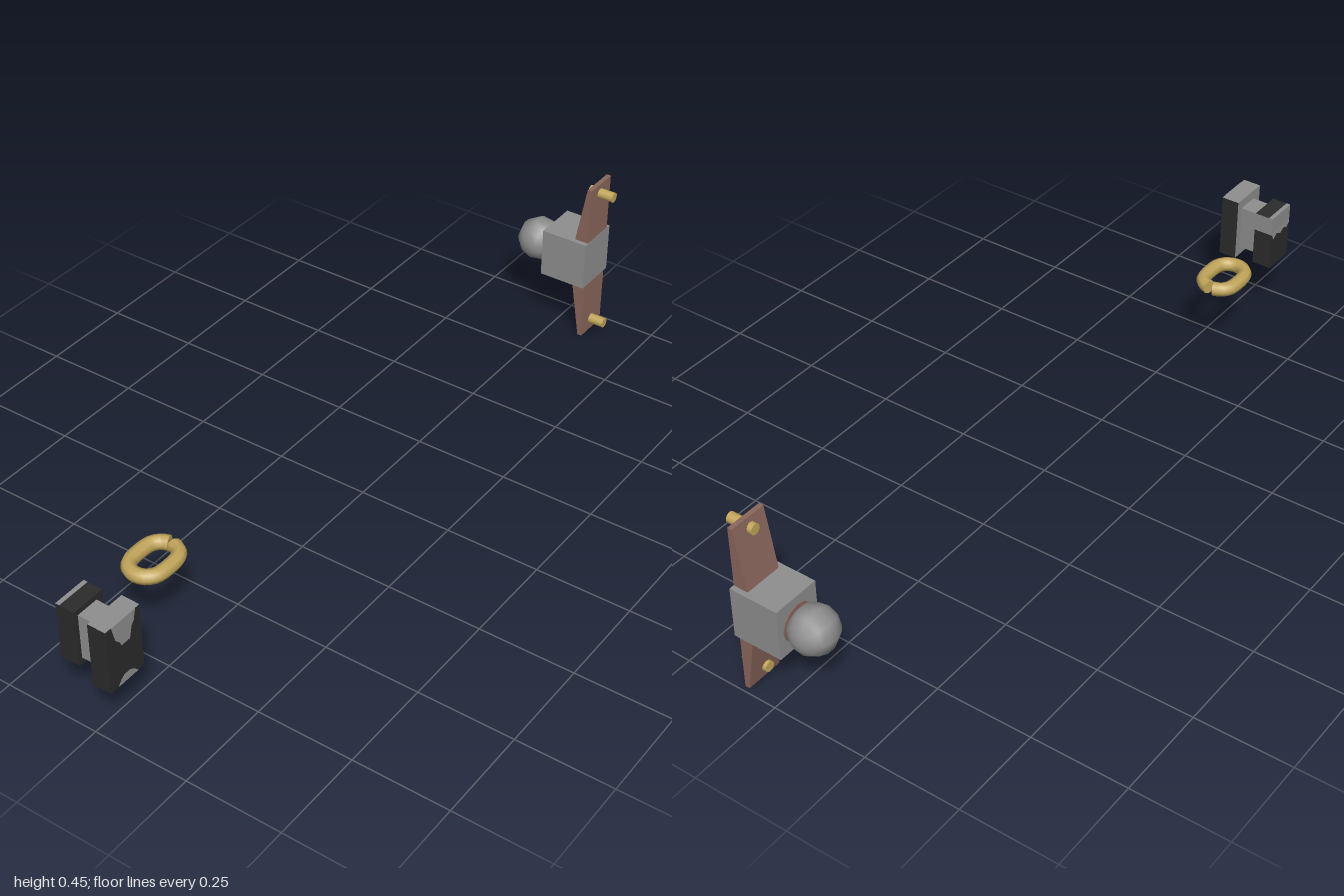
import * as THREE from 'three';

const mat = (name, color, side = THREE.FrontSide) => {
  const m = new THREE.MeshStandardMaterial({ color, side });
  m.name = name;
  return m;
};

export function createModel() {
  const model = new THREE.Group();
  const grey = mat('steel grey', 0x8f8f8f);
  const dark = mat('charcoal', 0x2b2b2b);
  const brown = mat('reddish brown', 0x8a675c);
  const gold = mat('brass', 0xc2a65a, THREE.DoubleSide);

  const add = (parent, name, geometry, material, x = 0, y = 0, z = 0) => {
    const mesh = new THREE.Mesh(geometry, material);
    mesh.name = name;
    mesh.position.set(x, y, z);
    parent.add(mesh);
    return mesh;
  };
  // Box given by its lower and upper limits
  const box = (parent, name, [x0, x1], [y0, y1], [z0, z1], material) =>
    add(parent, name, new THREE.BoxGeometry(x1 - x0, y1 - y0, z1 - z0), material,
      (x0 + x1) / 2, (y0 + y1) / 2, (z0 + z1) / 2);
  const shape = (pts) => new THREE.Shape(pts.map(([x, y]) => new THREE.Vector2(x, y)));
  const extrude = (pts, depth) =>
    new THREE.ExtrudeGeometry(shape(pts), { depth, bevelEnabled: false });
  const group = (name) => {
    const g = new THREE.Group();
    g.name = name;
    model.add(g);
    return g;
  };

  // Knob on a tapered mounting bar
  const knob = group('knobAssembly');
  const cx = 0.938;
  const barProfile = [[0.096, 0], [0.096, 0.453], [0.084, 0.453],
    [0.057, 0.293], [0.057, 0.16], [0.084, 0]];
  add(knob, 'mountingBar', extrude(barProfile, 0.098).rotateY(-Math.PI / 2), brown, cx + 0.049);
  box(knob, 'block', [cx - 0.062, cx + 0.062], [0.16, 0.294], [-0.033, 0.097], grey);
  add(knob, 'collar', new THREE.CylinderGeometry(0.047, 0.047, 0.004, 12).rotateX(Math.PI / 2),
    brown, cx, 0.225, -0.033);
  add(knob, 'ball', new THREE.SphereGeometry(0.059, 9, 9, Math.PI * 1.5).rotateZ(Math.PI / 2),
    grey, cx, 0.225, -0.077);
  for (const y of [0.033, 0.426]) {
    add(knob, 'pin', new THREE.CylinderGeometry(0.0135, 0.0135, 0.07, 16).rotateX(Math.PI / 2),
      gold, cx - 0.003, y, 0.103);
  }

  // Spool-shaped catch: two plates joined by a neck
  const spool = group('catchAssembly');
  box(spool, 'frontPlate', [-1, -0.89], [0.145, 0.317], [0.007, 0.056],
    [dark, dark, grey, dark, dark, grey]);
  box(spool, 'neck', [-0.97, -0.91], [0.17, 0.291], [-0.048, 0.008], grey);
  box(spool, 'rearPlateLower', [-0.98, -0.89], [0.153, 0.255], [-0.099, -0.047], dark);
  box(spool, 'rearPlateUpper', [-0.98, -0.89], [0.255, 0.305], [-0.099, -0.047],
    [grey, dark, dark, dark, dark, grey]);
  // Worn paint patches on the plates
  const worn = [[-0.982, 0.317], [-0.972, 0.275], [-0.96, 0.262], [-0.955, 0.25],
    [-0.928, 0.25], [-0.92, 0.28], [-0.912, 0.29], [-0.905, 0.317]];
  add(spool, 'frontWornPatch', extrude(worn, 0.001), grey, 0, 0, 0.056);
  const chip = [[-0.973, 0.145], [-0.91, 0.145], [-0.922, 0.158], [-0.935, 0.165],
    [-0.952, 0.165], [-0.964, 0.158]];
  add(spool, 'frontChip', extrude(chip, 0.001), grey, 0, 0, 0.056);
  box(spool, 'bottomWornPatch', [-0.973, -0.91], [0.144, 0.146], [0.015, 0.056], grey);
  const teeth = [[-0.98, 0.256], [-0.968, 0.243], [-0.95, 0.25], [-0.935, 0.24],
    [-0.915, 0.25], [-0.9, 0.238], [-0.89, 0.256]];
  add(spool, 'rearWornEdge', extrude(teeth, 0.001), grey, 0, 0, -0.1);
  box(spool, 'rearTopWornEdge', [-0.98, -0.89], [0.3045, 0.3055], [-0.099, -0.088], grey);

  // Open oval link with a narrow slit on its inner end
  const link = group('openLink');
  link.position.set(-0.686, 0.229, -0.08);
  const path = [];
  for (let i = 0; i < 16; i++) {
    const a = 0.14 + (i / 15) * (Math.PI * 2 - 0.28);
    path.push(new THREE.Vector3(0.042 * Math.cos(a) + 0.021 * Math.sign(Math.cos(a)), 0,
      0.042 * Math.sin(a)));
  }
  const curve = new THREE.CatmullRomCurve3(path);
  add(link, 'linkTube', new THREE.TubeGeometry(curve, 30, 0.0185, 8), gold);
  for (const t of [0, 1]) {
    const p = curve.getPointAt(t);
    const cap = add(link, 'linkEnd', new THREE.CircleGeometry(0.0185, 8), gold, p.x, p.y, p.z);
    cap.lookAt(cap.getWorldPosition(new THREE.Vector3()).add(curve.getTangentAt(t)));
  }
  return model;
}
